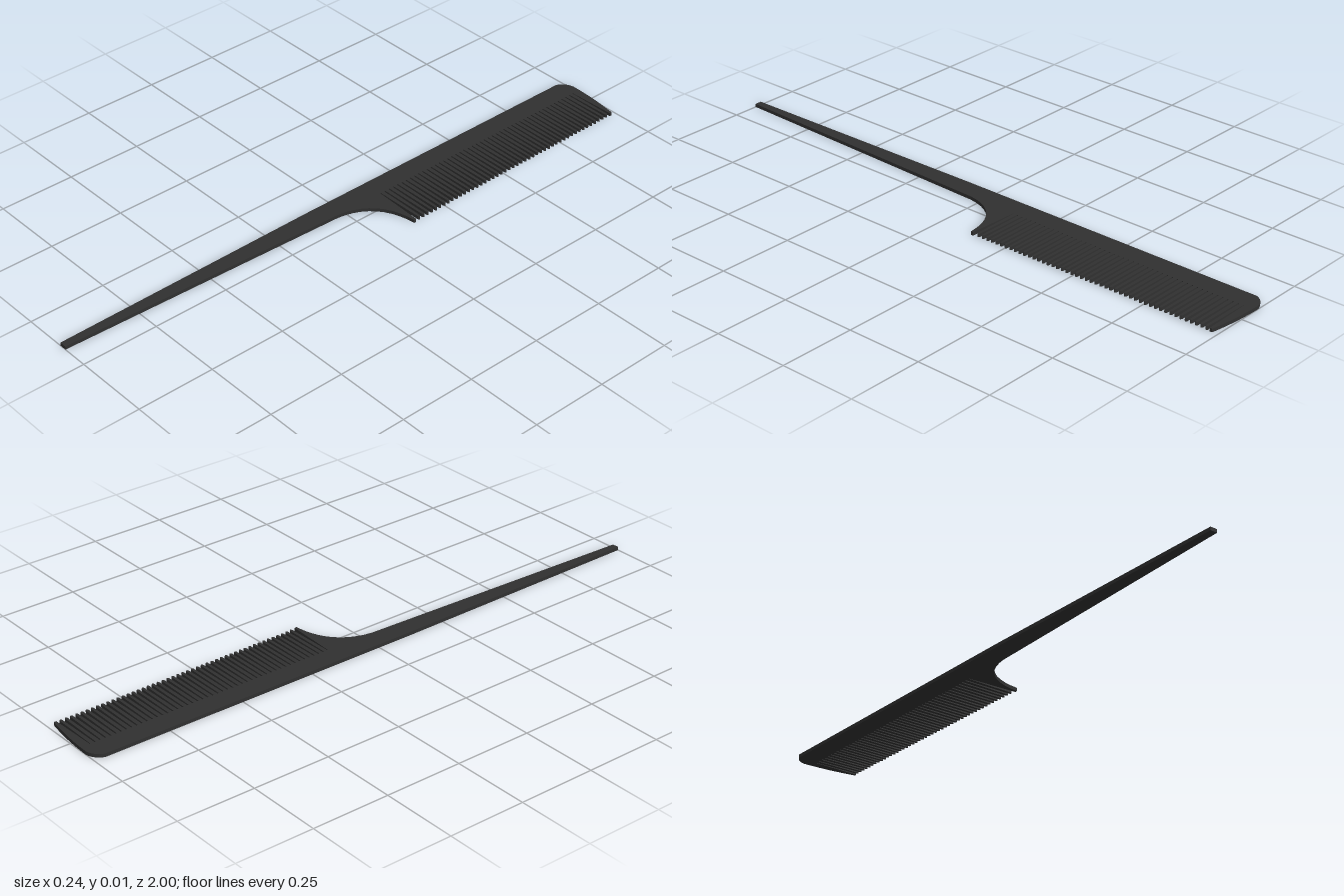
import * as THREE from 'three';

const THICK = 0.011;
const TEETH = 48;

// Lays a plan outline (drawn with y = -z) flat on the ground.
function flatPart(shape, material, name) {
  const geometry = new THREE.ExtrudeGeometry(shape, { depth: THICK, bevelEnabled: false, curveSegments: 10 });
  geometry.rotateX(-Math.PI / 2);
  const mesh = new THREE.Mesh(geometry, material);
  mesh.name = name;
  return mesh;
}

export function createModel() {
  const group = new THREE.Group();
  group.name = 'tailComb';
  const plastic = new THREE.MeshStandardMaterial({ color: 0x303030 });
  plastic.name = 'charcoal plastic';

  // Spine, both end guards and the tapering tail as one outline
  const body = new THREE.Shape();
  body.moveTo(-0.108, -1);
  body.lineTo(-0.085, -1);
  body.lineTo(-0.05, -0.03);
  body.bezierCurveTo(-0.04, 0.06, 0.02, 0.115, 0.119, 0.122);
  body.lineTo(0.119, 0.13);
  body.lineTo(-0.05, 0.138);
  body.lineTo(-0.05, 0.97);
  body.lineTo(0.11, 0.974);
  body.lineTo(0.11, 0.982);
  body.quadraticCurveTo(0.02, 0.999, -0.075, 1);
  body.quadraticCurveTo(-0.107, 0.995, -0.119, 0.965);
  body.lineTo(-0.119, -0.1);
  body.closePath();
  group.add(flatPart(body, plastic, 'spineAndTail'));

  // Fine teeth, narrowing towards their tips
  const teeth = new THREE.Group();
  teeth.name = 'teeth';
  const pitch = (0.97 - 0.138) / TEETH;
  for (let i = 0; i < TEETH; i++) {
    const y = 0.138 + pitch * (i + 0.5);
    const tip = 0.118 - 0.008 * (i / TEETH);
    const root = pitch * 0.38, end = pitch * 0.24;
    const tooth = new THREE.Shape();
    tooth.moveTo(-0.052, y - root);
    tooth.lineTo(tip - 0.004, y - end);
    tooth.lineTo(tip, y);
    tooth.lineTo(tip - 0.004, y + end);
    tooth.lineTo(-0.052, y + root);
    tooth.closePath();
    teeth.add(flatPart(tooth, plastic, 'tooth'));
  }
  group.add(teeth);
  return group;
}
